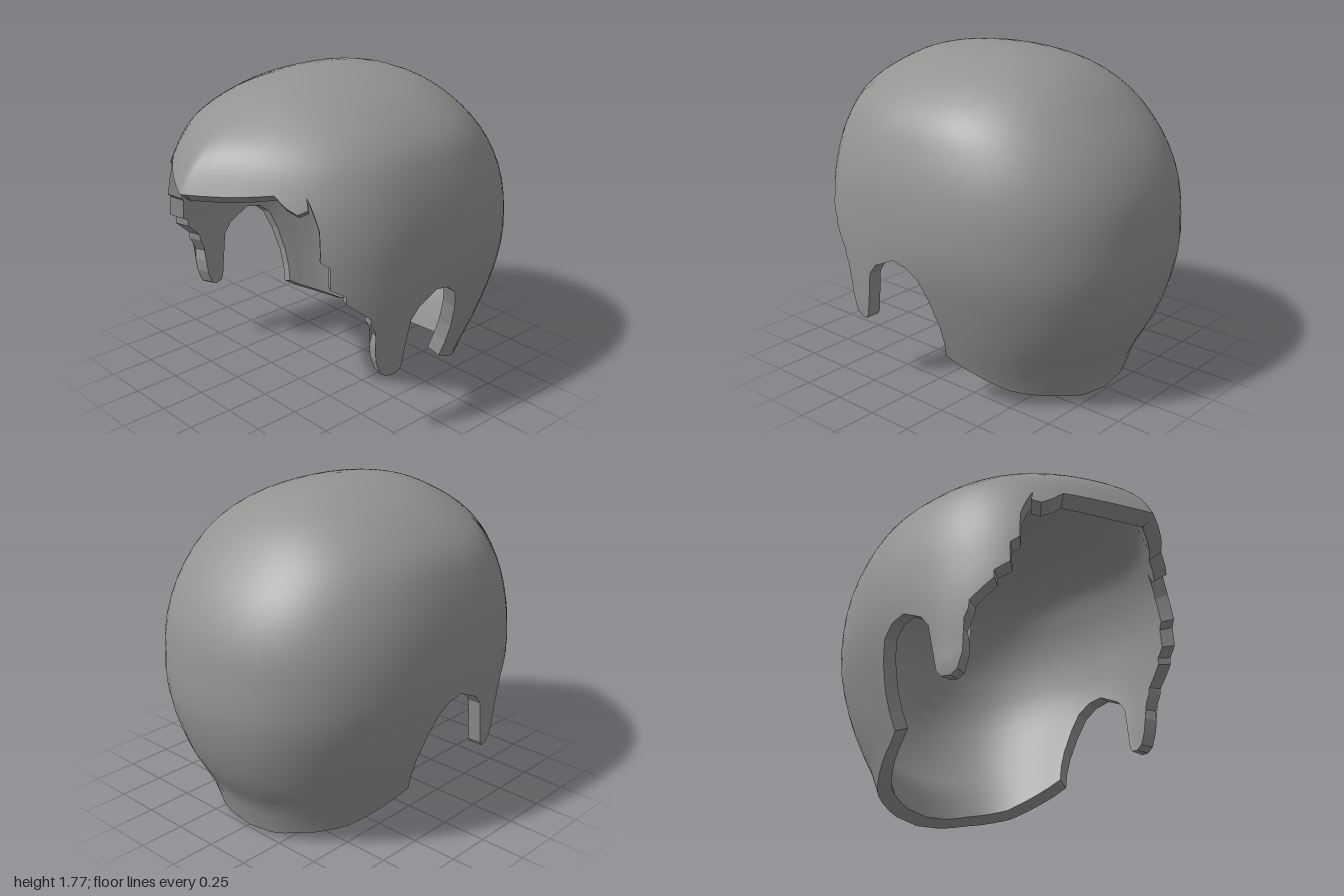
import * as THREE from 'three';

// Dome sections: height, reach to front, reach to back, half width in front, half width behind
const TOP = 1.78;
const SECTIONS = [
  [1.78, 0, 0, 0, 0],
  [1.74, 0.37, 0.34, 0.26, 0.26],
  [1.65, 0.6, 0.55, 0.47, 0.47],
  [1.5, 0.85, 0.73, 0.655, 0.655],
  [1.32, 0.985, 0.88, 0.745, 0.745],
  [1.12, 1.05, 0.97, 0.795, 0.795],
  [0.9, 1.08, 1.0, 0.81, 0.81],
  [0.73, 1.06, 1.0, 0.81, 0.79],
  [0.54, 1.0, 0.96, 0.8, 0.74],
  [0.36, 0.95, 0.89, 0.785, 0.685],
  [0.19, 0.9, 0.79, 0.72, 0.63],
  [0, 0.85, 0.73, 0.7, 0.57],
];

// Lower hair edge on one side as (z, y): fringe, jagged temple, sideburn, ear arch, nape.
// A third value fixes the direction, in degrees, in which that column leaves the crown.
const EDGE = [
  [1, 1.31, 90], [0.98, 1.31], [0.94, 1.315], [0.87, 1.325], [0.74, 1.35], [0.72, 1.3],
  [0.69, 1.27], [0.65, 1.29], [0.64, 1.37, 42], [0.635, 1.28], [0.63, 1.2], [0.645, 1.05],
  [0.61, 1.02], [0.615, 0.91], [0.55, 0.87], [0.55, 0.83], [0.435, 0.73], [0.43, 0.69],
  [0.385, 0.61], [0.395, 0.55], [0.39, 0.48], [0.36, 0.4], [0.32, 0.375, 17], [0.27, 0.38],
  [0.245, 0.41], [0.2, 0.66], [0.15, 0.72], [0.02, 0.78], [-0.07, 0.76], [-0.14, 0.7],
  [-0.18, 0.59], [-0.205, 0.45], [-0.205, 0.35], [-0.19, 0.26], [-0.25, 0.22], [-0.49, 0.1],
  [-0.66, 0.06], [-0.7, 0.04], [-0.72, 0.025], [-0.73, 0.01, -90],
];

const ROWS = 24;
const THICKNESS = 0.075;
const depth = (y) => Math.sqrt(Math.max(0, TOP - y));

// Smooth interpolation of the sections, by the root of the depth so the crown stays round
function section(y) {
  const d = depth(y);
  const n = SECTIONS.length;
  let k = 0;
  while (k < n - 2 && depth(SECTIONS[k + 1][0]) < d) k++;
  const at = (i) => SECTIONS[Math.min(n - 1, Math.max(0, i))];
  const d0 = depth(at(k)[0]), d1 = depth(at(k + 1)[0]), h = d1 - d0;
  const t = Math.min(1, (d - d0) / h);
  return [1, 2, 3, 4].map((c) => {
    const slope = (i) => {
      const a = at(i - 1), b = at(i + 1);
      return (b[c] - a[c]) / (depth(b[0]) - depth(a[0]));
    };
    const t2 = t * t, t3 = t2 * t;
    return (2 * t3 - 3 * t2 + 1) * at(k)[c] + (t3 - 2 * t2 + t) * h * slope(k)
      + (3 * t2 - 2 * t3) * at(k + 1)[c] + (t3 - t2) * h * slope(k + 1);
  });
}

// Point of the dome at height y; angle runs from +90 degrees (front) to -90 (back)
function domePoint(angle, y) {
  const [front, back, wideFront, wideBack] = section(y);
  const s = Math.sin(angle);
  const w = THREE.MathUtils.lerp(wideBack, wideFront, THREE.MathUtils.smoothstep(s, -0.3, 0.3));
  if (s < 0) {
    const x = w * Math.pow(Math.max(0, 1 - Math.pow(-s, 2.3)), 1 / 2.3);
    return new THREE.Vector3(x, y, s * back);
  }
  const pointed = 1 - THREE.MathUtils.smoothstep(y, 1.33, TOP);
  const x = w * THREE.MathUtils.lerp(Math.cos(angle), 1 - s * s * s, pointed);
  return new THREE.Vector3(Math.max(0, x), y, s * front);
}

// Outward normal from the slopes along and around the dome
function domeNormal(angle, y) {
  if (TOP - y < 1e-6) return new THREE.Vector3(0, 1, 0);
  const limit = Math.PI / 2;
  const dy = Math.min(0.005, (TOP - y) / 2);
  const up = domePoint(angle, y + dy).sub(domePoint(angle, y - dy));
  const around = Math.abs(angle) > limit - 1e-6
    ? new THREE.Vector3(-Math.sign(angle), 0, 0)
    : domePoint(Math.min(limit, angle + 0.01), y).sub(domePoint(Math.max(-limit, angle - 0.01), y));
  return up.cross(around).normalize();
}

// Columns from the crown to the hair edge, for the left half
function halfColumns() {
  const edge = [];
  let run = 0;
  EDGE.forEach(([z, y, start], i) => {
    const [z0, y0] = EDGE[Math.max(0, i - 1)];
    const length = Math.hypot(z - z0, y - y0);
    const parts = Math.max(1, Math.ceil(length / 0.05));
    for (let p = 1; p <= parts; p++) {
      const t = p / parts;
      edge.push({
        z: z0 + (z - z0) * t, y: y0 + (y - y0) * t, run: run + length * t,
        start: p === parts ? start : undefined,
      });
    }
    run += length;
  });
  const fixed = edge.filter((e) => e.start !== undefined);
  return edge.map((e, i) => {
    const k = Math.max(1, fixed.findIndex((f) => f.run >= e.run));
    const from = fixed[k - 1], to = fixed[k];
    const start = THREE.MathUtils.degToRad(
      THREE.MathUtils.mapLinear(e.run, from.run, to.run, from.start, to.start));
    const [front, back] = section(e.y);
    const s = THREE.MathUtils.clamp(e.z / (e.z > 0 ? front : back), -1, 1);
    const middle = i === 0 || i === edge.length - 1;
    const end = middle ? start : Math.asin(s);
    return Array.from({ length: ROWS + 1 }, (_, j) => {
      const y = TOP - (TOP - e.y) * Math.pow(j / ROWS, 1.7);
      const angle = THREE.MathUtils.lerp(start, end, j / ROWS);
      const point = domePoint(angle, y);
      if (middle) point.x = 0;
      return { point, normal: domeNormal(angle, y) };
    });
  });
}

function makeGeometry(points, index, normals) {
  const g = new THREE.BufferGeometry().setFromPoints(points);
  g.setIndex(index);
  if (normals) {
    g.setAttribute('normal', new THREE.Float32BufferAttribute(normals.flatMap((n) => n.toArray()), 3));
  }
  return g;
}

export function createModel() {
  const group = new THREE.Group();
  group.name = 'hair';
  const hairGrey = new THREE.MeshStandardMaterial({ color: 0x929492 });
  hairGrey.name = 'hair grey';

  // Mirror the half into a closed ring of columns
  const flip = new THREE.Vector3(-1, 1, 1);
  const half = halfColumns();
  const mirrored = half.slice(1, -1).reverse().map((column) => column.map(({ point, normal }) => (
    { point: point.clone().multiply(flip), normal: normal.clone().multiply(flip) })));
  const columns = [...half, ...mirrored];
  const count = columns.length;
  const id = (i, j) => (i % count) * (ROWS + 1) + j;

  const outerIndex = [], innerIndex = [];
  for (let i = 0; i < count; i++) {
    for (let j = 0; j < ROWS; j++) {
      const a = id(i, j), b = id(i, j + 1), c = id(i + 1, j), d = id(i + 1, j + 1);
      outerIndex.push(b, d, c);
      innerIndex.push(b, c, d);
      if (j > 0) {
        outerIndex.push(a, b, c);
        innerIndex.push(a, c, b);
      }
    }
  }

  // Outer surface of the hair
  const vertices = columns.flat();
  const outerPoints = vertices.map((v) => v.point);
  const normals = vertices.map((v) => v.normal);
  const outer = makeGeometry(outerPoints, outerIndex, normals);

  // Lining, set inwards and tipped a little: lower at the fringe, higher at the nape
  const innerPoints = vertices.map(({ point, normal }) => {
    const p = point.clone().addScaledVector(normal, -THICKNESS);
    p.y -= 0.025 * p.z;
    return p;
  });
  const inner = makeGeometry(innerPoints, innerIndex, normals.map((n) => n.clone().negate()));

  // Rim that closes the thickness along the hair edge
  const rimPoints = [], rimIndex = [];
  for (let i = 0; i < count; i++) {
    rimPoints.push(outerPoints[id(i, ROWS)], innerPoints[id(i, ROWS)]);
    const o = 2 * i, n = 2 * ((i + 1) % count);
    rimIndex.push(o, o + 1, n, o + 1, n + 1, n);
  }
  const rim = makeGeometry(rimPoints, rimIndex).toNonIndexed();
  rim.computeVertexNormals();

  for (const [name, geometry] of [['outerHair', outer], ['hairLining', inner], ['hairEdge', rim]]) {
    const mesh = new THREE.Mesh(geometry, hairGrey);
    mesh.name = name;
    group.add(mesh);
  }
  return group;
}
